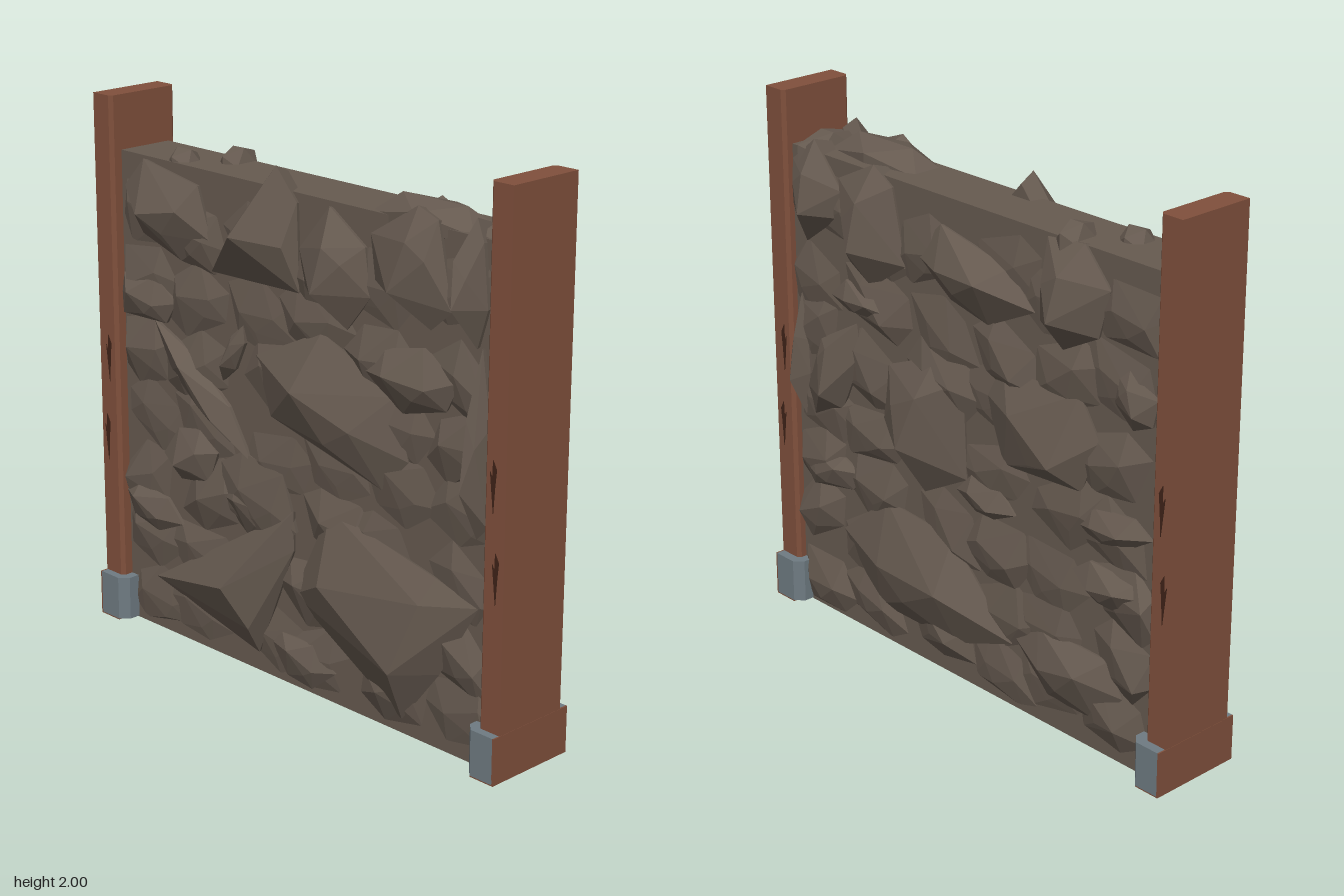
import * as THREE from 'three';
import { ConvexGeometry } from 'three/addons/geometries/ConvexGeometry.js';

const mat = (name, color) => {
  const m = new THREE.MeshStandardMaterial({ color });
  m.name = name;
  return m;
};

export function createModel() {
  const model = new THREE.Group();
  model.name = 'stoneWallPanel';
  const stone = mat('stone', 0x665a50);
  const wood = mat('wood', 0x80503c);
  const metal = mat('metal', 0x6f7b82);
  const dark = mat('woodCrack', 0x3f2318);
  const clamp = THREE.MathUtils.clamp;
  let seed = 11;
  const rnd = () => (seed = (seed * 16807) % 2147483647) / 2147483647;

  const add = (parent, name, geo, material, x = 0, y = 0, z = 0) => {
    const mesh = new THREE.Mesh(geo, material);
    mesh.name = name;
    mesh.position.set(x, y, z);
    parent.add(mesh);
    return mesh;
  };

  // Wall core, with a wooden underside
  add(model, 'wallCore', new THREE.BoxGeometry(1.82, 1.8, 0.22),
    [stone, stone, stone, wood, stone, stone], 0, 0.9, -0.01);

  // Faceted stone: hull of an outline, a smaller ring sunk in the wall and its peaks
  const rock = (name, side, outline, peaks, rim) => {
    const n = outline.length;
    const cx = outline.reduce((s, p) => s + p[0], 0) / n;
    const cy = outline.reduce((s, p) => s + p[1], 0) / n;
    const pts = peaks.map(([x, y, z]) => new THREE.Vector3(x, y, side * z));
    for (const [x, y] of outline) {
      pts.push(new THREE.Vector3(x, y, side * rim));
      pts.push(new THREE.Vector3(cx + (x - cx) * 0.88, cy + (y - cy) * 0.88, side * 0.05));
    }
    add(model, name, new ConvexGeometry(pts), stone);
  };

  // Irregular six-sided stone from centre, half length, half width, tilt and peak depth
  const ovalRock = (name, side, [cx, cy, a, b, tilt, z], rim) => {
    const t = THREE.MathUtils.degToRad(tilt);
    const at = (u, v) => [
      clamp(cx + u * a * Math.cos(t) - v * b * Math.sin(t), -0.9, 0.9),
      Math.max(cy + u * a * Math.sin(t) + v * b * Math.cos(t), 0.01)];
    const outline = [];
    for (let k = 0; k < 6; k++) {
      const angle = (k + (rnd() - 0.5) * 0.55) * Math.PI / 3, d = 0.92 + rnd() * 0.2;
      outline.push(at(Math.cos(angle) * d, Math.sin(angle) * d));
    }
    const lean = (rnd() - 0.5) * 0.7;
    rock(name, side, outline, [
      [...at(-0.35, lean), z],
      [...at(0.4, -lean * 0.6), rim + (z - rim) * 0.75],
      [...at(0.1, -0.5), rim + (z - rim) * 0.6]], rim);
  };

  // Large stones on the front: centre x, centre y, half length, half width, tilt, depth
  const front = [
    [-0.63, 1.64, 0.24, 0.17, -10, 0.2], [0.2, 1.58, 0.2, 0.17, 100, 0.21],
    [0.56, 1.66, 0.21, 0.19, 100, 0.2], [0.82, 1.66, 0.2, 0.055, 92, 0.235],
    [0.56, 1.27, 0.23, 0.11, 10, 0.18], [0.86, 1.1, 0.32, 0.05, 90, 0.21],
    [0.2, 1.1, 0.36, 0.23, -15, 0.215], [-0.47, 1, 0.3, 0.07, -38, 0.17],
    [-0.77, 1.28, 0.17, 0.1, 0, 0.16], [-0.31, 1.17, 0.12, 0.04, 65, 0.16],
    [-0.53, 0.74, 0.15, 0.11, 10, 0.17], [-0.77, 0.48, 0.17, 0.08, -10, 0.155],
    [-0.18, 0.67, 0.22, 0.15, -20, 0.145], [0.05, 0.12, 0.16, 0.09, 0, 0.15],
  ];
  front.forEach((p, i) => ovalRock(`frontStone${i + 1}`, 1, p, 0.115));

  // Three sharp-cornered front stones
  rock('frontPeakStone', 1,
    [[-0.08, 1.88], [0.02, 1.77], [0.03, 1.46], [-0.41, 1.45], [-0.32, 1.6]],
    [[-0.2, 1.63, 0.23], [0, 1.62, 0.17]], 0.115);
  rock('frontShardStone', 1,
    [[0, 0.67], [0, 0.52], [-0.18, 0.08], [-0.28, 0.11], [-0.74, 0.21], [-0.4, 0.42]],
    [[-0.25, 0.34, 0.24], [-0.17, 0.19, 0.18]], 0.115);
  rock('frontWedgeStone', 1,
    [[0.18, 0.73], [0.68, 0.62], [0.87, 0.57], [0.7, 0.28], [0.53, 0.06], [0, 0.36]],
    [[0.2, 0.47, 0.2], [0.55, 0.26, 0.21], [0.65, 0.53, 0.17]], 0.115);

  // Large stones on the back, described the same way
  const back = [
    [0.47, 1.61, 0.23, 0.17, 85, 0.235], [0.77, 1.66, 0.19, 0.13, 100, 0.22],
    [-0.04, 1.56, 0.28, 0.14, 8, 0.22], [-0.51, 1.62, 0.21, 0.16, 100, 0.24],
    [0.69, 1.01, 0.23, 0.11, 115, 0.21], [0.87, 1, 0.23, 0.04, 90, 0.19],
    [0.2, 0.96, 0.28, 0.23, 95, 0.235], [-0.39, 1.1, 0.28, 0.22, 0, 0.215],
    [0.22, 0.34, 0.44, 0.22, 5, 0.225], [-0.52, 0.26, 0.25, 0.15, 0, 0.2],
    [-0.71, 0.86, 0.18, 0.07, -5, 0.18], [-0.71, 0.64, 0.18, 0.08, 0, 0.19],
    [0.52, 1.31, 0.17, 0.07, 0, 0.18], [-0.1, 0.76, 0.14, 0.07, 0, 0.17],
    [-0.8, 1.34, 0.11, 0.1, 90, 0.17], [0.72, 0.59, 0.16, 0.08, -10, 0.17],
  ];
  back.forEach((p, i) => ovalRock(`backStone${i + 1}`, -1, p, 0.13));

  // Low, shallow stones covering the rest of both faces
  for (const side of [1, -1]) {
    const rim = side > 0 ? 0.097 : 0.117;
    for (let r = 0; r < 7; r++) for (let c = 0; c < 6; c++) {
      const x = -0.76 + c * 0.304 + (rnd() - 0.5) * 0.14;
      const y = 0.14 + r * 0.24 + (rnd() - 0.5) * 0.1;
      ovalRock('lowStone', side, [x, y, 0.2, 0.14, (rnd() - 0.5) * 60, rim + 0.02 + rnd() * 0.03], rim);
    }
  }

  // Loose stones lying on the top edge
  const looseStone = (name, x, y, z, sx, sy, sz) =>
    add(model, name, new THREE.IcosahedronGeometry(1, 0).scale(sx, sy, sz), stone, x, y, z);
  looseStone('topStoneLarge', 0.56, 1.79, 0.02, 0.27, 0.085, 0.12);
  looseStone('topStoneCorner', 0.83, 1.78, -0.02, 0.065, 0.075, 0.16);
  looseStone('topStoneSmall', -0.48, 1.79, -0.08, 0.055, 0.07, 0.09);
  looseStone('topStoneLeft', -0.63, 1.78, 0.04, 0.07, 0.07, 0.07);

  // Vertical prism from a plan of [x, z] corners
  const prism = (plan, h) => {
    const shape = new THREE.Shape(plan.map(([x, z]) => new THREE.Vector2(x, -z)));
    return new THREE.ExtrudeGeometry(shape, { depth: h, bevelEnabled: false }).rotateX(-Math.PI / 2);
  };
  // Plan with its two inner corners chamfered, mirrored by s
  const chamferPlan = (s, inner, outer, cut, zBack, zFront) => [
    [outer, zFront], [inner + cut, zFront], [inner, zFront - cut],
    [inner, zBack + cut], [inner + cut, zBack], [outer, zBack]].map(([x, z]) => [x * s, z]);

  const crackShape = new THREE.Shape([[0, -0.09], [0.006, 0], [0.012, 0.06], [-0.004, 0.09],
    [-0.006, 0.03], [-0.016, 0.05], [-0.008, -0.02]].map((p) => new THREE.Vector2(...p)));
  const crackGeo = new THREE.ExtrudeGeometry(crackShape, { depth: 0.004, bevelEnabled: false });

  // Posts with chamfered inner edges, metal feet and cracks
  for (const s of [1, -1]) {
    const post = new THREE.Group();
    post.name = s > 0 ? 'leftPost' : 'rightPost';
    model.add(post);
    add(post, 'postBeam', prism(chamferPlan(s, 0.904, 0.999, 0.013, -0.155, 0.145), 2), wood);
    add(post, 'metalFoot', prism(chamferPlan(s, 0.868, 0.995, 0.031, -0.19, 0.175), 0.166), metal, 0, 0.004, 0);
    add(post, 'footOuterPlate', new THREE.BoxGeometry(0.006, 0.17, 0.365), wood, s * 0.997, 0.085, -0.0075);
    add(post, 'footBasePlate', new THREE.BoxGeometry(0.1, 0.004, 0.365), wood, s * 0.949, 0.002, -0.0075);
    for (const z of [0.1435, -0.1575]) {
      add(post, 'crackUpper', crackGeo, dark, s * 0.948, 1.02, z);
      add(post, 'crackLower', crackGeo, dark, s * 0.966, 0.71, z);
    }
  }
  return model;
}
